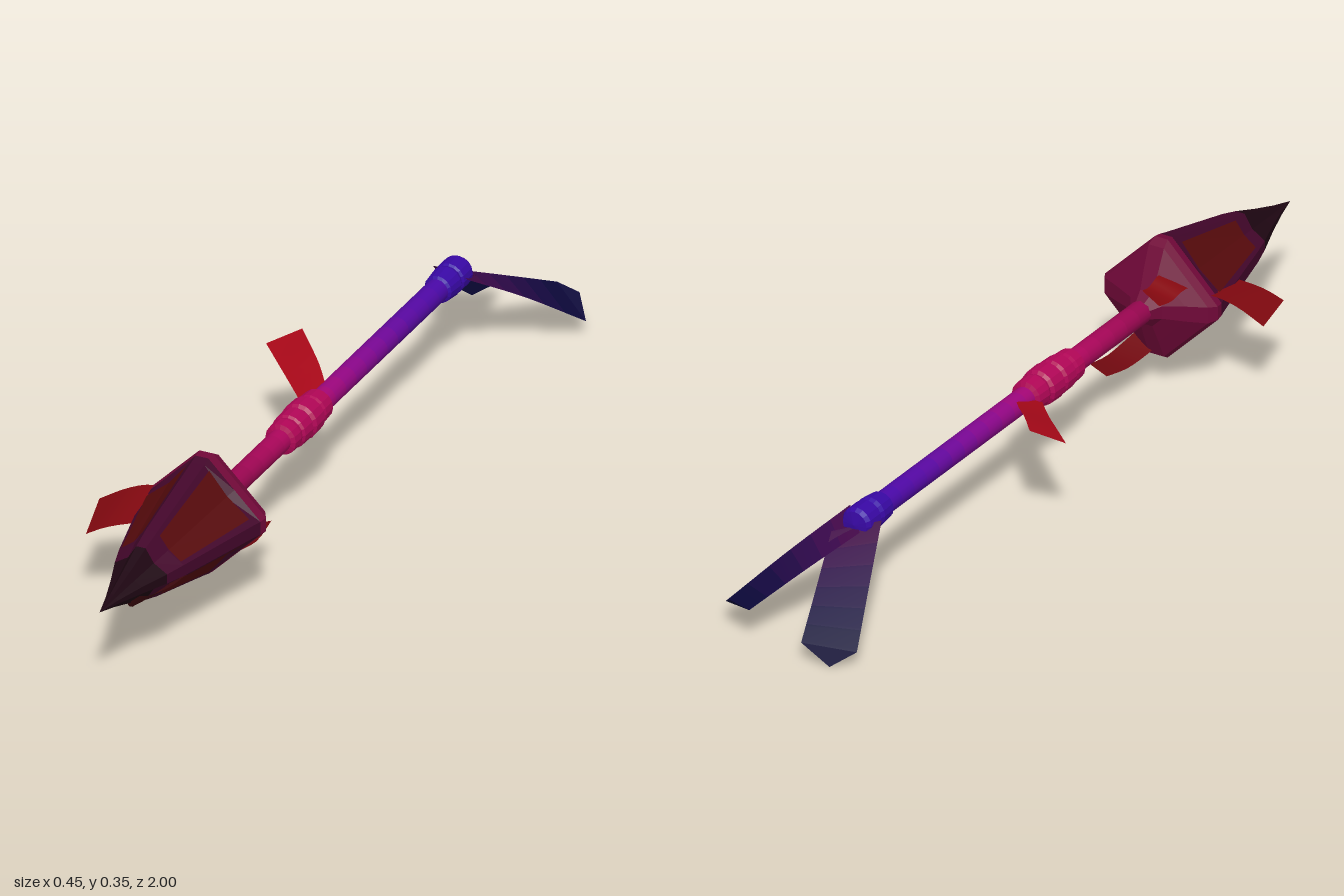
import * as THREE from 'three';

const CX = 0.014, CY = 0.205; // the shaft's axis, which runs along z

function mesh(name, geometry, color, double = false) {
  const material = new THREE.MeshStandardMaterial({ color });
  if (double) material.side = THREE.DoubleSide;
  const m = new THREE.Mesh(geometry, material);
  m.name = name;
  return m;
}

// Skin over rows of 3D points; closed joins the last point of a row to the first
function skin(rows, closed) {
  const n = rows[0].length, index = [];
  for (let i = 0; i < rows.length - 1; i++) {
    for (let j = 0; j < (closed ? n : n - 1); j++) {
      const a = i * n + j, b = i * n + (j + 1) % n;
      index.push(a, b, b + n, a, b + n, a + n);
    }
  }
  const g = new THREE.BufferGeometry();
  g.setAttribute('position', new THREE.Float32BufferAttribute(rows.flat(2), 3));
  g.setIndex(index);
  g.computeVertexNormals();
  return g;
}

// Chamfered diamond section: corner radius r, half chamfer c, face middles pulled in by k
function headRing([z, r, c, k]) {
  const ring = [];
  for (let q = 0; q < 4; q++) {
    const cos = Math.round(Math.cos(q * Math.PI / 2)), sin = Math.round(Math.sin(q * Math.PI / 2));
    const m = (r + c) / 2 * k;
    for (const [x, y] of [[r, -c], [r, c], [m, m]]) ring.push([x * cos - y * sin, x * sin + y * cos, z]);
  }
  return ring;
}

function headPart(name, sections, color) {
  const m = mesh(name, skin(sections.map(headRing), true), color);
  m.material.flatShading = true;
  return m;
}

// Smooth curve through a few points
const curve = pts => new THREE.CatmullRomCurve3(pts.map(p => new THREE.Vector3(...p)));

// Cloth strip between two edge curves, over the part t0 to t1 of their length
function ribbon(name, left, right, color, t0 = 0, t1 = 1) {
  const a = curve(left), b = curve(right), rows = [];
  for (let i = 0; i <= 8; i++) {
    const t = t0 + (t1 - t0) * i / 8;
    rows.push([a.getPoint(t).toArray(), b.getPoint(t).toArray()]);
  }
  return mesh(name, skin(rows, false), color, true);
}

// Turned part along z from [radius, z] pairs, z increasing
function turned(name, profile, color) {
  const g = new THREE.LatheGeometry(profile.map(([r, z]) => new THREE.Vector2(r, z)), 16);
  g.rotateX(Math.PI / 2);
  const m = mesh(name, g, color);
  m.material.flatShading = true;
  return m;
}

export function createModel() {
  const model = new THREE.Group();
  const weapon = new THREE.Group();
  weapon.name = 'spear';
  weapon.position.set(CX, CY, 0);
  model.add(weapon);

  // Shaft, shading from crimson at the head to violet at the butt
  const stops = [[-0.74, 0x3808ac], [-0.45, 0x5a08a0], [-0.2, 0x8c0688], [0.05, 0xb40660], [0.46, 0x8c0648]];
  const steps = 24, len = 1.2 / steps;
  for (let i = 0; i < steps; i++) {
    const z = -0.74 + (i + 0.5) * len;
    let s = 0;
    while (s < stops.length - 2 && z > stops[s + 1][0]) s++;
    const [z0, c0] = stops[s], [z1, c1] = stops[s + 1];
    const color = new THREE.Color(c0).lerp(new THREE.Color(c1), (z - z0) / (z1 - z0));
    const g = new THREE.CylinderGeometry(0.026, 0.026, len, 16, 1, i > 0 && i < steps - 1);
    g.rotateX(Math.PI / 2);
    g.translate(0, 0, z);
    weapon.add(mesh('shaft', g, color));
  }

  // Wrapped grip in the middle and binding at the butt
  weapon.add(turned('gripWrap', [[0.025, -0.06], [0.036, -0.055], [0.038, -0.02], [0.035, -0.012], [0.042, -0.005],
    [0.043, 0.035], [0.036, 0.042], [0.041, 0.05], [0.04, 0.085], [0.035, 0.09], [0.037, 0.1], [0.036, 0.125], [0.025, 0.13]], 0xb00656));
  weapon.add(turned('buttBinding', [[0, -0.745], [0.03, -0.74], [0.036, -0.73], [0.036, -0.69], [0.032, -0.685],
    [0.036, -0.675], [0.032, -0.635], [0.025, -0.63]], 0x3808a4));

  // Four-sided spear head: back shell, hollowed front and dark point
  weapon.add(headPart('headBack', [[0.4, 0.024, 0.01, 1], [0.425, 0.04, 0.015, 1], [0.445, 0.085, 0.018, 1],
    [0.465, 0.13, 0.019, 1], [0.485, 0.142, 0.016, 1], [0.505, 0.139, 0.015, 1]], 0x700838));
  const front = [[0.505, 0.139, 0.015, 1], [0.525, 0.133, 0.015, 0.9], [0.75, 0.077, 0.013, 0.86], [0.8, 0.062, 0.011, 0.84]];
  weapon.add(headPart('headFront', front, 0x42062a));
  weapon.add(headPart('headPoint', [front[3], [0.87, 0.037, 0.008, 0.85], [0.94, 0.015, 0.004, 0.9], [1, 0, 0, 1]], 0x1e0612));

  // Red panel lying in the hollow of each face
  for (let q = 0; q < 4; q++) {
    const rows = [front[1], front[2]].map(([z, r, c, k]) => {
      const m = (r + c) / 2 * k + 0.003, e = 0.82;
      const x = m + (r - m) * e, y = m + (c - m) * e;
      return [[x, y + 0.002, z], [m, m, z], [y + 0.002, x, z]];
    });
    const panel = mesh('headPanel', skin(rows, false), 0x560a0c, true);
    panel.material.flatShading = true;
    panel.rotation.z = q * Math.PI / 2;
    weapon.add(panel);
  }

  // Two long, even-width tails at the butt, darkening towards slanted points
  const tails = [
    ['rightTail', [[-0.035, 0.215, -0.71], [-0.082, 0.125, -0.835], [-0.13, 0.036, -0.96]],
      [[0.06, 0.185, -0.76], [0.022, 0.115, -0.88], [-0.015, 0.045, -1]], [-0.08, 0, -0.99]],
    ['leftTail', [[-0.005, 0.195, -0.75], [0.06, 0.138, -0.87], [0.122, 0.08, -0.99]],
      [[0.06, 0.215, -0.685], [0.138, 0.137, -0.8], [0.225, 0.042, -0.92]], [0.185, 0.079, -0.97]],
  ];
  const shades = [0x420848, 0x38084a, 0x2c0848, 0x200844, 0x140840, 0x0c083a];
  for (const [name, a, b, tip] of tails) {
    shades.forEach((color, i) => model.add(ribbon(name, a, b, color, i / shades.length, (i + 1) / shades.length)));
    model.add(mesh(name + 'Tip', skin([[a[2], b[2]], [tip, tip]], false), shades[shades.length - 1], true));
  }

  // Short red ribbons at the grip and around the head
  model.add(ribbon('gripRibbon',
    [[-0.01, 0.2, -0.035], [-0.07, 0.205, -0.1], [-0.13, 0.215, -0.16], [-0.19, 0.225, -0.22]],
    [[0.012, 0.22, -0.1], [-0.03, 0.238, -0.155], [-0.08, 0.252, -0.21], [-0.125, 0.256, -0.262]], 0xa80818));
  model.add(ribbon('sideRibbon',
    [[-0.05, 0.235, 0.485], [-0.115, 0.24, 0.49], [-0.165, 0.225, 0.5], [-0.227, 0.19, 0.51]],
    [[-0.05, 0.222, 0.61], [-0.1, 0.214, 0.625], [-0.15, 0.2, 0.64], [-0.19, 0.18, 0.65]], 0x80080f));
  model.add(ribbon('upperBackRibbon',
    [[-0.07, 0.255, 0.49], [-0.068, 0.262, 0.44], [-0.066, 0.255, 0.4], [-0.066, 0.265, 0.35]],
    [[-0.005, 0.275, 0.49], [-0.006, 0.282, 0.44], [-0.008, 0.272, 0.4], [-0.01, 0.278, 0.37]], 0x84080f));
  model.add(ribbon('lowerBackRibbon',
    [[0.02, 0.09, 0.5], [0.025, 0.08, 0.43], [0.03, 0.078, 0.37], [0.035, 0.09, 0.3]],
    [[0.07, 0.115, 0.5], [0.076, 0.102, 0.43], [0.08, 0.095, 0.37], [0.078, 0.108, 0.3]], 0x70080f));
  model.add(ribbon('pointFlap',
    [[0.016, 0.165, 0.87], [0.017, 0.15, 0.855], [0.018, 0.137, 0.78], [0.018, 0.133, 0.73]],
    [[0.045, 0.19, 0.87], [0.055, 0.183, 0.85], [0.076, 0.178, 0.78], [0.085, 0.183, 0.73]], 0x420a10));

  return model;
}
